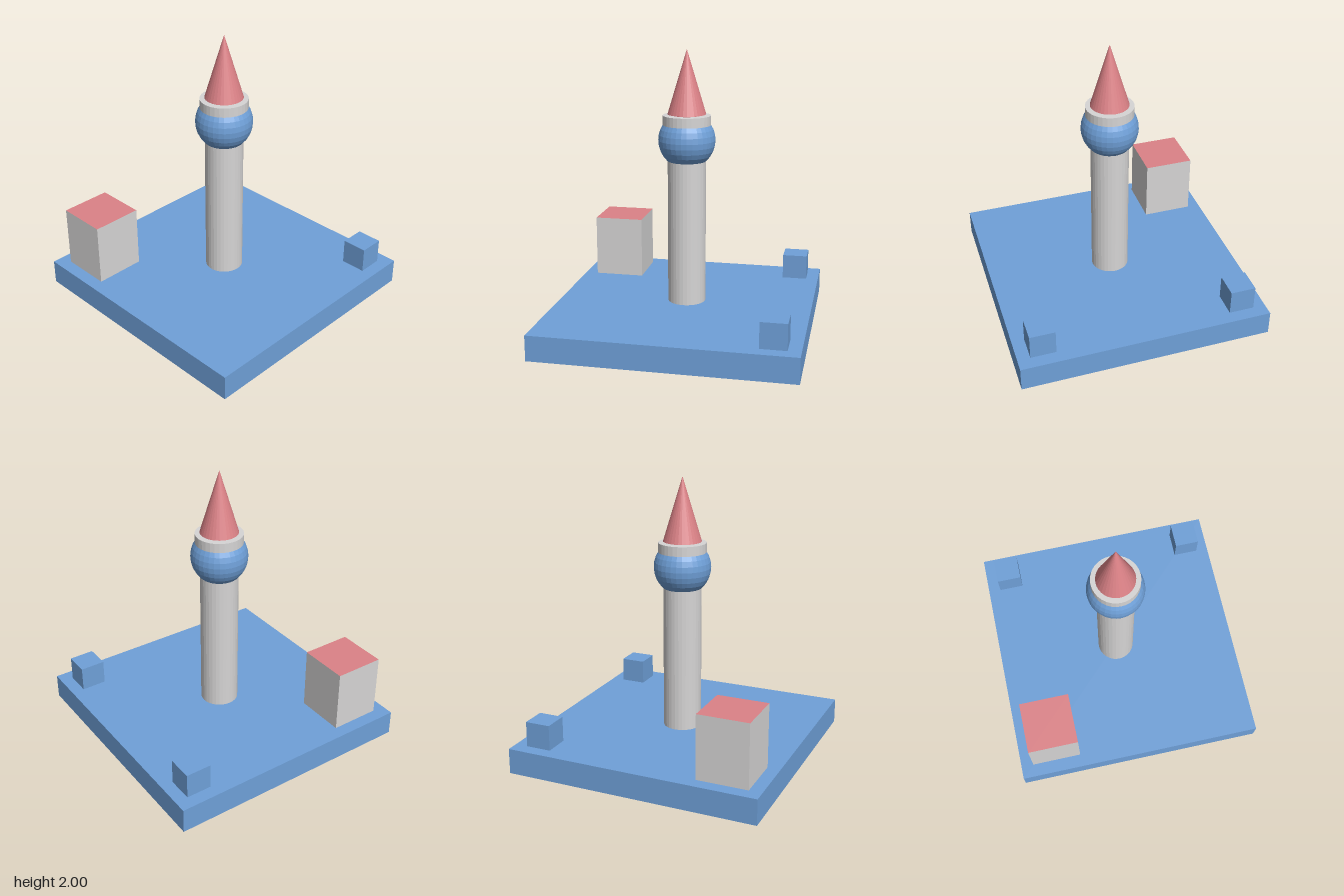
import * as THREE from 'three';

const U = 2 / 11; // model unit: the whole tower stands 11 units high

function material(name, color) {
  const m = new THREE.MeshStandardMaterial({ color, flatShading: true });
  m.name = name;
  return m;
}

export function createModel() {
  const model = new THREE.Group();
  model.name = 'tower';
  const blue = material('blue', 0x6fa0d8);
  const grey = material('lightGrey', 0xd6d5d5);
  const red = material('red', 0xdc8287);

  const add = (name, geometry, mat, x, y, z) => {
    const mesh = new THREE.Mesh(geometry, mat);
    mesh.name = name;
    mesh.position.set(x, y, z);
    model.add(mesh);
  };

  // round part standing between two heights
  const round = (name, top, bottom, y0, y1, mat) =>
    add(name, new THREE.CylinderGeometry(top, bottom, y1 - y0, 32), mat, 0, (y0 + y1) / 2, 0);

  // square base plate
  add('base', new THREE.BoxGeometry(10 * U, U, 10 * U), blue, 0, U / 2, 0);

  // tower: shaft, globe, collar, neck and spire
  round('shaft', 0.136, 0.136, U, 1.25, grey);
  add('globe', new THREE.SphereGeometry(0.202, 32, 16), blue, 0, 1.364, 0);
  round('collar', 0.17, 0.17, 1.47, 1.54, grey);
  round('neck', 0.1, 0.1, 1.53, 1.55, red);
  add('spire', new THREE.ConeGeometry(0.136, 0.452, 32), red, 0, 1.774, 0);

  // block house with a red roof face
  add('house', new THREE.BoxGeometry(2 * U, 2.5 * U, 2 * U),
    [grey, grey, red, grey, grey, grey], -3.5 * U, 2.25 * U, 3.5 * U);

  // small cubes on the two back corners
  for (const side of [-1, 1]) {
    add(side > 0 ? 'leftCornerCube' : 'rightCornerCube',
      new THREE.BoxGeometry(U, U, U), blue, side * 4 * U, 1.5 * U, -4 * U);
  }
  return model;
}
